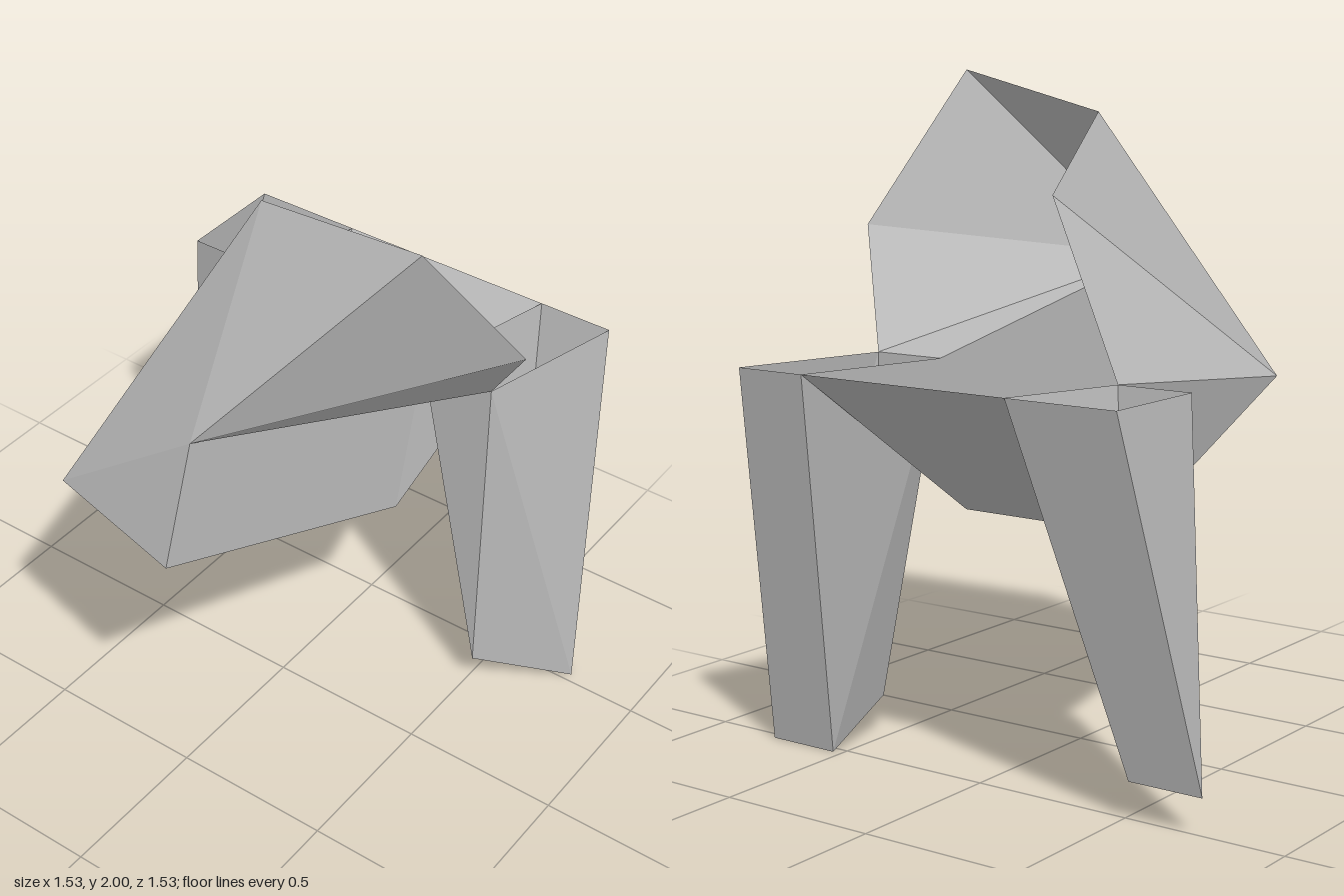
import * as THREE from 'three';

const U = 2 / 17; // modelling grid step
const V = (x, y, z) => new THREE.Vector3(x, y, z).multiplyScalar(U);

const grey = new THREE.MeshStandardMaterial({ color: 0xb8b8b8, side: THREE.DoubleSide, flatShading: true });
grey.name = 'plain grey';

// Folded sheet: each panel is a triangle or quad, fanned from its first corner
function sheet(name, panels) {
  const points = [];
  for (const p of panels)
    for (let i = 1; i < p.length - 1; i++) points.push(p[0], p[i], p[i + 1]);
  const geometry = new THREE.BufferGeometry().setFromPoints(points);
  geometry.computeVertexNormals();
  const mesh = new THREE.Mesh(geometry, grey);
  mesh.name = name;
  return mesh;
}

export function createModel() {
  // Backrest corners
  const peak = V(-2.5, 17, 5.5), crest = V(-1.5, 16, 0.5), shoulder = V(0.5, 14, 0.5);
  const wing = V(0.5, 13, 6.5), hinge = V(-5.5, 12, 1.5);

  // Tub corners
  const tailFront = V(-6.5, 9, 1.5), tailBack = V(-5.5, 9, -2.5);
  const keelFront = V(1.5, 6, 2.5), keelBack = V(1.5, 6, -2.5);

  // Front leg corners: open top, three-cornered foot
  const fInner = V(2.5, 10, 2.5), fFront = V(2.5, 10, 4.5);
  const fOuter = V(6.5, 10, 5.5), fRim = V(6.5, 10, 3.5);
  const fToe = V(4.5, 0, 6.5), fHeel = V(4.5, 0, 4.5), fSpur = V(2.5, 1, 4.5);

  // Back leg corners: open top, foot pinched to an edge
  const bInner = V(3.5, 10, -3.5), bBack = V(3.5, 10, -5.5);
  const bOuter = V(6.5, 10, -5.5), bRim = V(6.5, 10, -2.5);
  const bToe = V(4.5, 1, -6.5), bHeel = V(4.5, 1, -4.5);

  const group = new THREE.Group();
  group.name = 'foldedChair';
  group.add(
    sheet('backrest', [
      [peak, hinge, crest],
      [crest, hinge, tailBack],
      [crest, tailBack, shoulder],
      [shoulder, tailBack, bInner],
    ]),
    sheet('frontWing', [
      [peak, hinge, wing],
      [hinge, fFront, wing],
      [hinge, fFront, fInner],
    ]),
    sheet('seatTub', [
      [hinge, tailFront, fInner],
      [tailFront, keelFront, fInner],
      [fInner, keelFront, fRim],
      [fRim, keelFront, keelBack, bRim],
      [bRim, keelBack, bInner],
      [bInner, keelBack, tailBack],
      [tailBack, keelBack, keelFront],
      [tailBack, keelFront, tailFront],
      [hinge, tailBack, tailFront],
    ]),
    sheet('frontLeg', [
      [fFront, fToe, fOuter],
      [fFront, fSpur, fToe],
      [fOuter, fToe, fHeel, fRim],
      [fRim, fHeel, fInner],
      [fInner, fHeel, fSpur],
      [fInner, fSpur, fFront],
      [fSpur, fHeel, fToe],
    ]),
    sheet('backLeg', [
      [bBack, bOuter, bToe],
      [bBack, bToe, bHeel, bInner],
      [bInner, bHeel, bRim],
      [bRim, bHeel, bToe, bOuter],
    ]),
  );
  return group;
}
